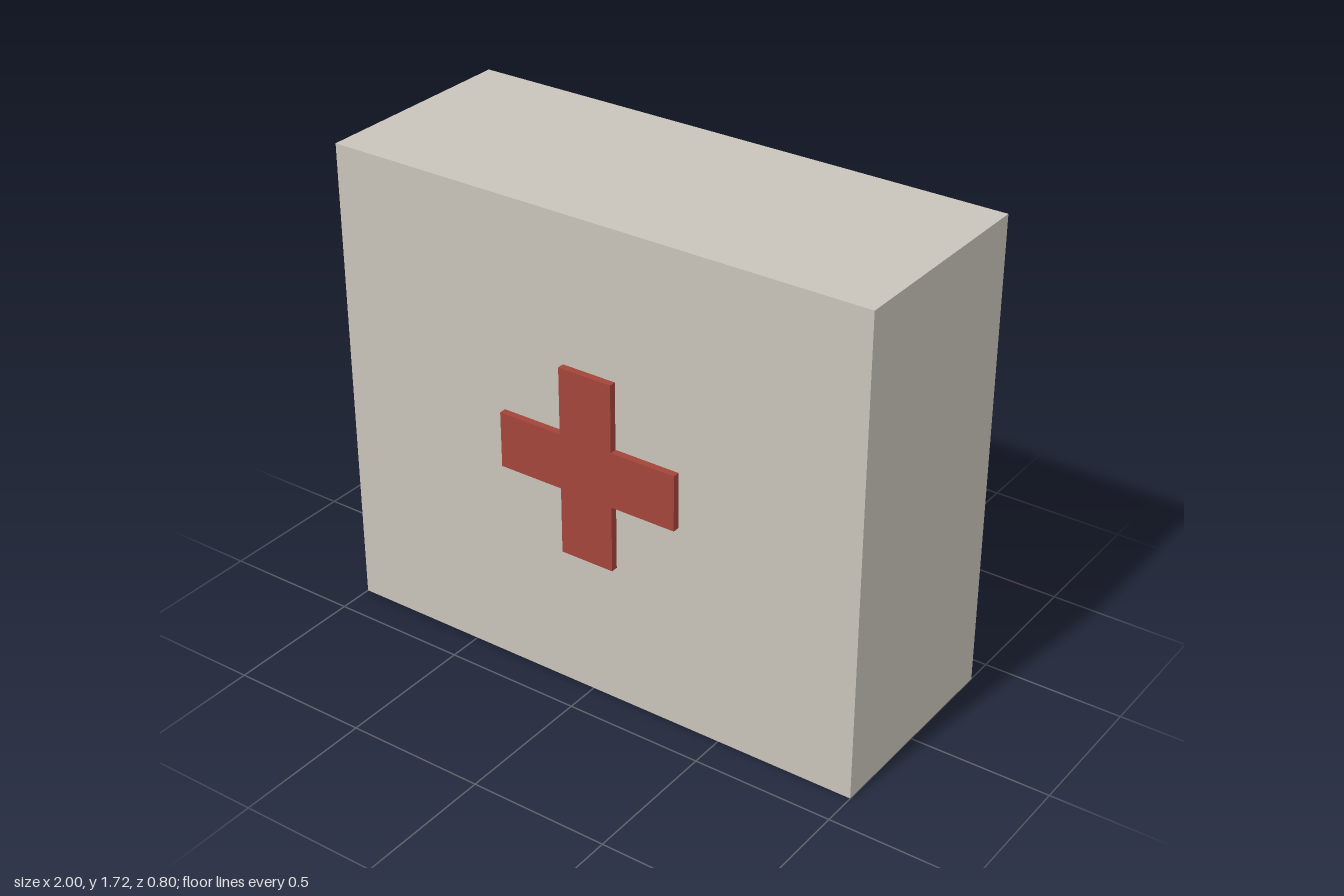
import * as THREE from 'three';

const HEIGHT = 1.715, BACK = -0.4, FRONT = 0.375, CROSS_FRONT = 0.4;

// Plus-shaped outline: four arms of half-width w reaching out to r
function crossShape(w, r) {
  return new THREE.Shape([
    [w, r], [-w, r], [-w, w], [-r, w], [-r, -w], [-w, -w],
    [-w, -r], [w, -r], [w, -w], [r, -w], [r, w], [w, w],
  ].map(([x, y]) => new THREE.Vector2(x, y)));
}

export function createModel() {
  const model = new THREE.Group();
  model.name = 'firstAidBox';

  const casingGrey = new THREE.MeshStandardMaterial({ color: 0xc8c4ba });
  casingGrey.name = 'warm grey';
  const crossRed = new THREE.MeshStandardMaterial({ color: 0xa3453a });
  crossRed.name = 'brick red';

  // Plain casing standing on the ground
  const casing = new THREE.Mesh(new THREE.BoxGeometry(2, HEIGHT, FRONT - BACK), casingGrey);
  casing.name = 'casing';
  casing.position.set(0, HEIGHT / 2, (FRONT + BACK) / 2);
  model.add(casing);

  // Raised cross in the middle of the front
  const cross = new THREE.Mesh(
    new THREE.ExtrudeGeometry(crossShape(0.1, 0.34), { depth: CROSS_FRONT - FRONT, bevelEnabled: false }),
    crossRed,
  );
  cross.name = 'frontCross';
  cross.position.set(0, HEIGHT / 2, FRONT);
  model.add(cross);

  return model;
}
